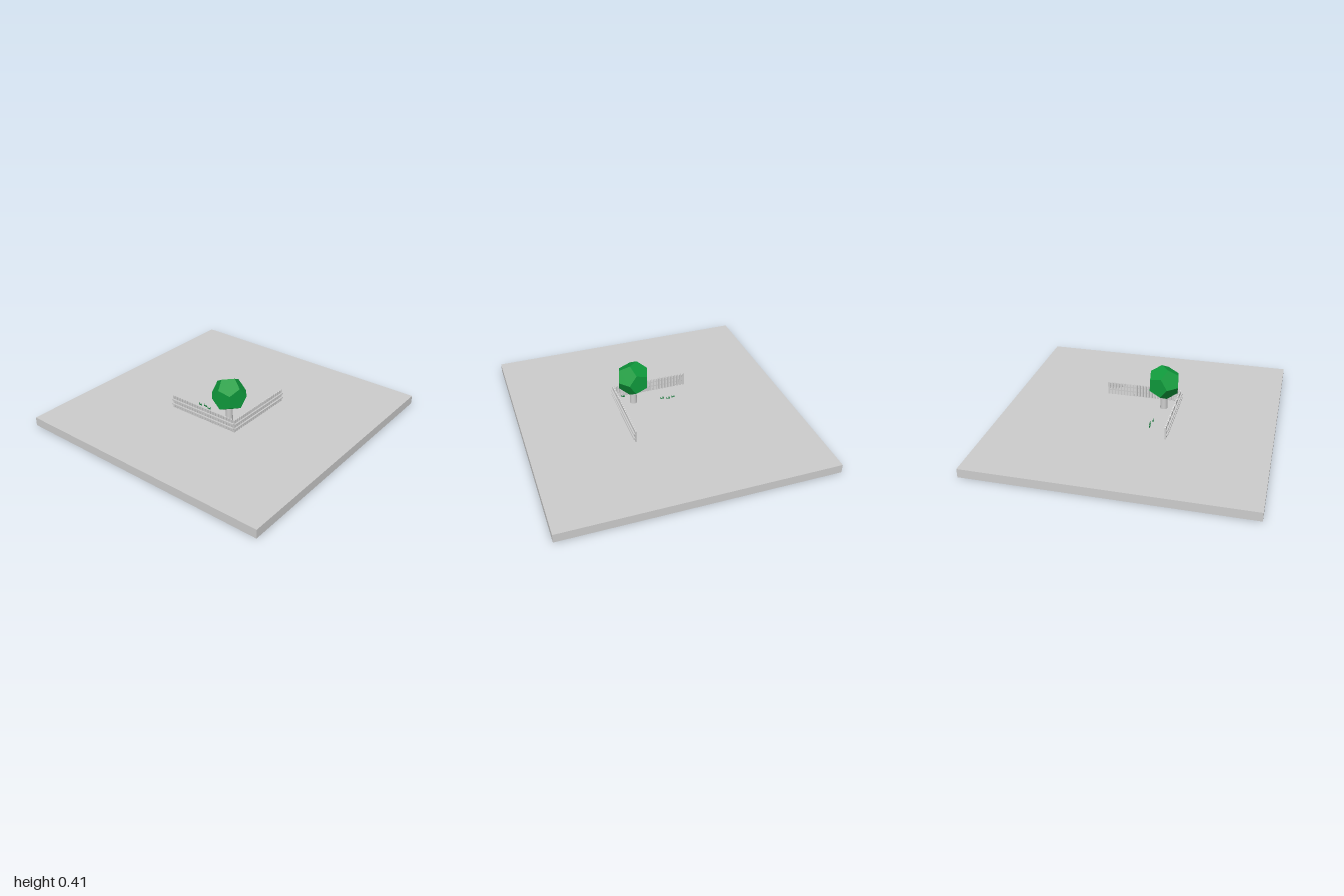
import * as THREE from 'three';

const GROUND = 0.065;
const grey = new THREE.MeshStandardMaterial({ color: 0xcccccc });
const leafGreen = new THREE.MeshStandardMaterial({ color: 0x0f9a3c, flatShading: true });
const grassGreen = new THREE.MeshStandardMaterial({ color: 0x0f7a36, flatShading: true });

function add(parent, name, geometry, material, x, y, z) {
  const mesh = new THREE.Mesh(geometry, material);
  mesh.name = name;
  mesh.position.set(x, y, z);
  parent.add(mesh);
  return mesh;
}

// Picket with clipped top corners, base at y = 0, centred on x
function picketGeometry(width, height, depth) {
  const w = width / 2, c = width * 0.3;
  const shape = new THREE.Shape([
    [-w, 0], [w, 0], [w, height - c], [w - c, height], [c - w, height], [-w, height - c],
  ].map(([x, y]) => new THREE.Vector2(x, y)));
  return new THREE.ExtrudeGeometry(shape, { depth, bevelEnabled: false });
}

// Straight fence along x, with its rails on the +z side
function createFence(name) {
  const fence = new THREE.Group();
  fence.name = name;
  const count = 24, length = 0.575, width = 0.016;
  const step = (length - width) / (count - 1);
  const picket = picketGeometry(width, 0.098, 0.011);
  for (let i = 0; i < count; i++) {
    add(fence, 'picket', picket, grey, -length / 2 + width / 2 + i * step, 0, -0.011);
  }
  const rail = new THREE.BoxGeometry(length, 0.009, 0.012);
  for (const y of [0.032, 0.068]) add(fence, 'rail', rail, grey, 0, y, 0.006);
  return fence;
}

// Row of three short blades
function createTuft(x, z) {
  const tuft = new THREE.Group();
  tuft.name = 'grassTuft';
  const blade = new THREE.ConeGeometry(0.006, 0.022, 4);
  [-0.011, 0, 0.011].forEach((dx, i) => {
    const b = add(tuft, 'blade', blade, grassGreen, dx, 0.01, 0);
    b.rotation.z = (1 - i) * 0.2;
    b.scale.set(0.8, i === 1 ? 1.1 : 0.9, 0.7);
  });
  tuft.position.set(x, GROUND, z);
  return tuft;
}

export function createModel() {
  const model = new THREE.Group();
  model.name = 'garden';

  // Ground slab
  add(model, 'ground', new THREE.BoxGeometry(2, GROUND, 2), grey, 0, GROUND / 2, 0);

  // Two fences meeting at the front left corner
  const front = createFence('frontFence');
  front.position.set(-0.033, GROUND, 0.262);
  const side = createFence('sideFence');
  side.rotation.y = Math.PI / 2;
  side.position.set(0.257, GROUND, -0.027);
  model.add(front, side);

  // Tree
  const tree = new THREE.Group();
  tree.name = 'tree';
  tree.position.set(0.125, 0, 0.155);
  add(tree, 'trunk', new THREE.CylinderGeometry(0.024, 0.028, 0.13, 12), grey, 0, GROUND + 0.065, 0);
  const crown = add(tree, 'crown', new THREE.DodecahedronGeometry(0.13), leafGreen, 0, 0.281, 0);
  crown.rotation.set(0, 0.72, 0.06);
  model.add(tree);

  // Grass tufts
  for (const [x, z] of [[-0.18, 0.115], [-0.138, 0.107], [-0.094, 0.12], [0.18, 0.24]]) {
    model.add(createTuft(x, z));
  }
  return model;
}
